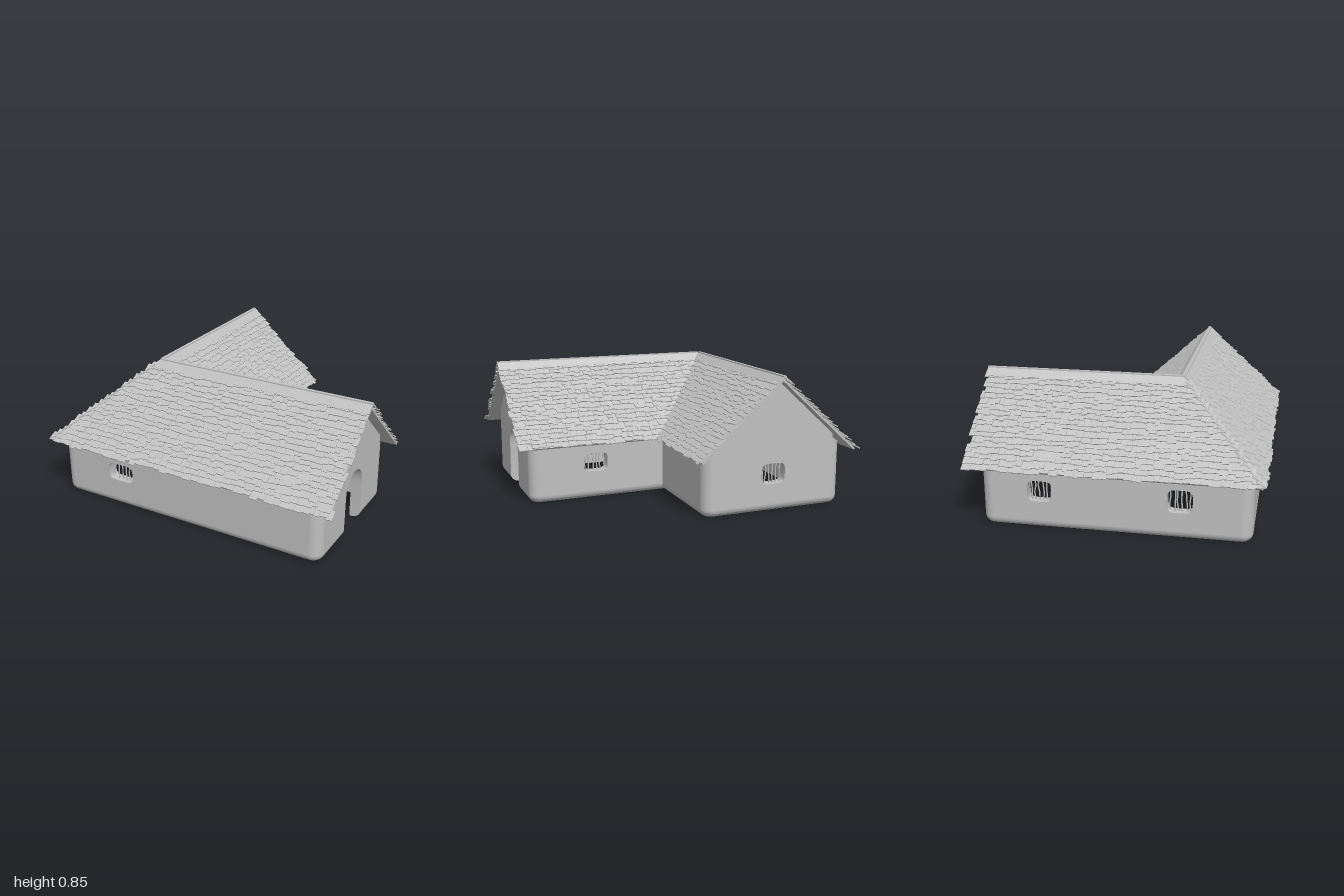
import * as THREE from 'three';
import { mergeGeometries, toCreasedNormals } from 'three/addons/utils/BufferGeometryUtils.js';

const T = 0.07;                 // wall thickness, also the corner radius
const R = 0.05;                 // rounding at the foot of the walls
const EAVE = 0.41;              // height of the long walls
const RIDGE = new THREE.Vector3(-0.46, 0.835, 0.35); // where both ridges meet
const RUN = 0.53, DROP = 0.475, SLOPE = Math.hypot(RUN, DROP);

let seed = 7;
const rnd = (a, b) => {
  seed = (seed * 16807) % 2147483647;
  return a + (b - a) * (seed / 2147483647);
};

export function createModel() {
  const model = new THREE.Group();
  const grey = new THREE.MeshStandardMaterial({ color: 0xc0c0c0 });
  grey.name = 'warm grey';

  const add = (parent, name, geometry) => {
    const mesh = new THREE.Mesh(geometry, grey);
    mesh.name = name;
    parent.add(mesh);
    return mesh;
  };
  const frame = (name, x, y, z, origin) => {
    const g = new THREE.Group();
    g.name = name;
    g.applyMatrix4(new THREE.Matrix4().makeBasis(x, y, z).setPosition(origin));
    model.add(g);
    return g;
  };

  // ---------- walls ----------
  // soft-cornered window opening
  const windowHole = (u, y, w, h) => {
    const pts = [];
    for (let i = 0; i < 24; i++) {
      const a = (i / 24) * Math.PI * 2, c = Math.cos(a), s = Math.sin(a);
      pts.push(new THREE.Vector2(
        u + Math.sign(c) * Math.abs(c) ** 0.45 * w / 2,
        y + Math.sign(s) * Math.abs(s) ** 0.45 * h / 2));
    }
    return new THREE.Path(pts);
  };

  // crooked sticks across a window
  const windowBars = (u, y, w, h) => {
    const bars = [];
    for (let i = 0; i < 6; i++) {
      const x = u + ((i + 0.5) / 6 - 0.5) * w * 0.95;
      const path = new THREE.CatmullRomCurve3([-0.54, -0.15, 0.2, 0.54].map(
        (k) => new THREE.Vector3(x + rnd(-0.007, 0.007), y + k * h, T / 2 + rnd(-0.004, 0.004))));
      bars.push(new THREE.TubeGeometry(path, 8, 0.0045, 6));
    }
    return mergeGeometries(bars);
  };

  // rounded foot running along a wall from u0 to u1
  const foot = (u0, u1) => {
    const s = new THREE.Shape();
    s.moveTo(0, 0);
    s.lineTo(T - R, 0);
    s.absarc(T - R, R, R, -Math.PI / 2, 0, false);
    s.lineTo(0, R);
    const g = new THREE.ExtrudeGeometry(s, { depth: u1 - u0, bevelEnabled: false, curveSegments: 6 });
    return toCreasedNormals(g.rotateY(-Math.PI / 2).translate(u1, 0, 0), 0.6);
  };

  // outer corners, counter-clockwise from above, with the wall that starts at each
  const corners = [
    { x: -0.93, z: 0.82, name: 'frontWall', windows: [[0.45, 0.235, 0.18, 0.115]] },
    { x: 0.9, z: 0.82, name: 'doorGable', gable: true, door: [0.35, 0.6] },
    { x: 0.9, z: -0.12, name: 'courtWall', windows: [[0.43, 0.24, 0.16, 0.12]] },
    { x: 0.01, z: -0.12, name: 'innerWall', concave: true },
    { x: 0.01, z: -0.79, name: 'backGable', gable: true, windows: [[0.46, 0.24, 0.16, 0.13]] },
    { x: -0.93, z: -0.79, name: 'sideWall', windows: [[0.36, 0.235, 0.15, 0.13], [1.19, 0.235, 0.15, 0.14]] },
  ];
  const up = new THREE.Vector3(0, 1, 0);

  corners.forEach((c, i) => {
    const next = corners[(i + 1) % corners.length];
    const from = new THREE.Vector3(c.x, 0, c.z), to = new THREE.Vector3(next.x, 0, next.z);
    const length = from.distanceTo(to);
    const t = to.clone().sub(from).normalize();
    const n = t.clone().cross(up);
    const wall = frame(c.name, t, up, n, from.clone().addScaledVector(n, -T));
    const u0 = c.concave ? 0 : T, u1 = next.concave ? length + T : length - T;

    const s = new THREE.Shape();
    s.moveTo(u0, R);
    if (c.door) {
      const [a, b] = c.door;
      s.lineTo(a, R);
      s.lineTo(a + 0.008, 0.27);
      s.bezierCurveTo(a + 0.015, 0.36, a + 0.06, 0.39, (a + b) / 2, 0.39);
      s.bezierCurveTo(b - 0.06, 0.39, b - 0.005, 0.36, b, 0.25);
      s.lineTo(b, R);
    }
    s.lineTo(u1, R);
    if (c.gable) {
      const y = 0.818 - (length / 2 - T) * DROP / RUN;
      s.lineTo(u1, y);
      s.lineTo(length / 2, 0.818);
      s.lineTo(u0, y);
    } else {
      s.lineTo(u1, EAVE);
      s.lineTo(u0, EAVE);
    }
    for (const w of c.windows ?? []) {
      s.holes.push(windowHole(...w));
      add(wall, 'windowBars', windowBars(...w));
    }
    const panel = new THREE.ExtrudeGeometry(s, { depth: T, bevelEnabled: false, curveSegments: 10 });
    add(wall, 'wallPanel', toCreasedNormals(panel, 0.6));
    const spans = c.door ? [[u0, c.door[0]], [c.door[1], u1]] : [[u0, u1]];
    for (const [a, b] of spans) add(wall, 'wallFoot', foot(a, b));

    // rounded post where this wall turns into the next
    if (!next.concave) {
      const profile = [new THREE.Vector2(0, 0)];
      for (let k = 0; k <= 6; k++) {
        const a = (k / 6) * Math.PI / 2;
        profile.push(new THREE.Vector2(T - R + R * Math.sin(a), R - R * Math.cos(a)));
      }
      profile.push(new THREE.Vector2(T, EAVE));
      const post = add(model, 'wallCorner',
        new THREE.LatheGeometry(profile, 8, Math.atan2(n.x, n.z), Math.PI / 2));
      post.position.copy(to).addScaledVector(t, -T).addScaledVector(n, -T);
    }
  });

  // ---------- roof ----------
  // along: ridge direction, out: downhill direction, hip: -1 outer corner, 1 valley
  const roofSlope = (name, along, out, hip, length) => {
    const down = out.clone().multiplyScalar(RUN).addScaledVector(up, -DROP).normalize();
    const normal = out.clone().multiplyScalar(DROP).addScaledVector(up, RUN).normalize();
    const side = Math.sign(along.clone().cross(normal).dot(down));
    const slope = frame(name, along, down.clone().multiplyScalar(-side), normal, RIDGE);
    const start = (v) => hip * v * RUN / SLOPE;

    const slab = (v0, v1, z, depth, end) => {
      const s = new THREE.Shape([[start(v0), v0], [end, v0], [end, v1], [start(v1), v1]]
        .map(([u, v]) => new THREE.Vector2(u, -side * v)));
      return new THREE.ExtrudeGeometry(s, { depth, bevelEnabled: false }).translate(0, 0, z);
    };
    add(slope, 'roofBoards', slab(0, SLOPE - 0.015, -0.012, 0.012, length - 0.01));
    add(slope, 'ridgeCap', slab(0, 0.06, 0.006, 0.01, length + 0.005));

    // overlapping rows of uneven shingles
    const shingles = [], rows = 18;
    for (let r = 0; r < rows; r++) {
      const bottom = 0.075 + (r / (rows - 1)) * (SLOPE - 0.075);
      const end = length + rnd(-0.015, 0.012);
      let u = start(bottom);
      while (u < end - 0.008) {
        const w = Math.min(rnd(0.025, 0.065), end - u);
        const len = rnd(0.055, 0.07), tilt = rnd(0.14, 0.28);
        const v = bottom + rnd(-0.01, 0.008) - len / 2;
        shingles.push(new THREE.BoxGeometry(w - 0.001, len, 0.006)
          .rotateX(-side * tilt)
          .rotateZ(rnd(-0.05, 0.05))
          .translate(u + w / 2, -side * v, 0.002 + Math.sin(tilt) * len / 2));
        u += w;
      }
    }
    add(slope, 'shingles', mergeGeometries(shingles));
  };

  const px = new THREE.Vector3(1, 0, 0), nx = new THREE.Vector3(-1, 0, 0);
  const pz = new THREE.Vector3(0, 0, 1), nz = new THREE.Vector3(0, 0, -1);
  roofSlope('frontRoof', px, pz, -1, 1.445);
  roofSlope('courtRoof', px, nz, 1, 1.445);
  roofSlope('sideRoof', nz, nx, -1, 1.225);
  roofSlope('innerRoof', nz, px, 1, 1.225);

  // narrow poles along the two ridges
  add(model, 'longRidgePole', new THREE.BoxGeometry(1.45, 0.016, 0.02)).position.set(0.265, 0.846, 0.35);
  add(model, 'shortRidgePole', new THREE.BoxGeometry(0.02, 0.016, 1.23)).position.set(-0.46, 0.846, -0.265);

  return model;
}
